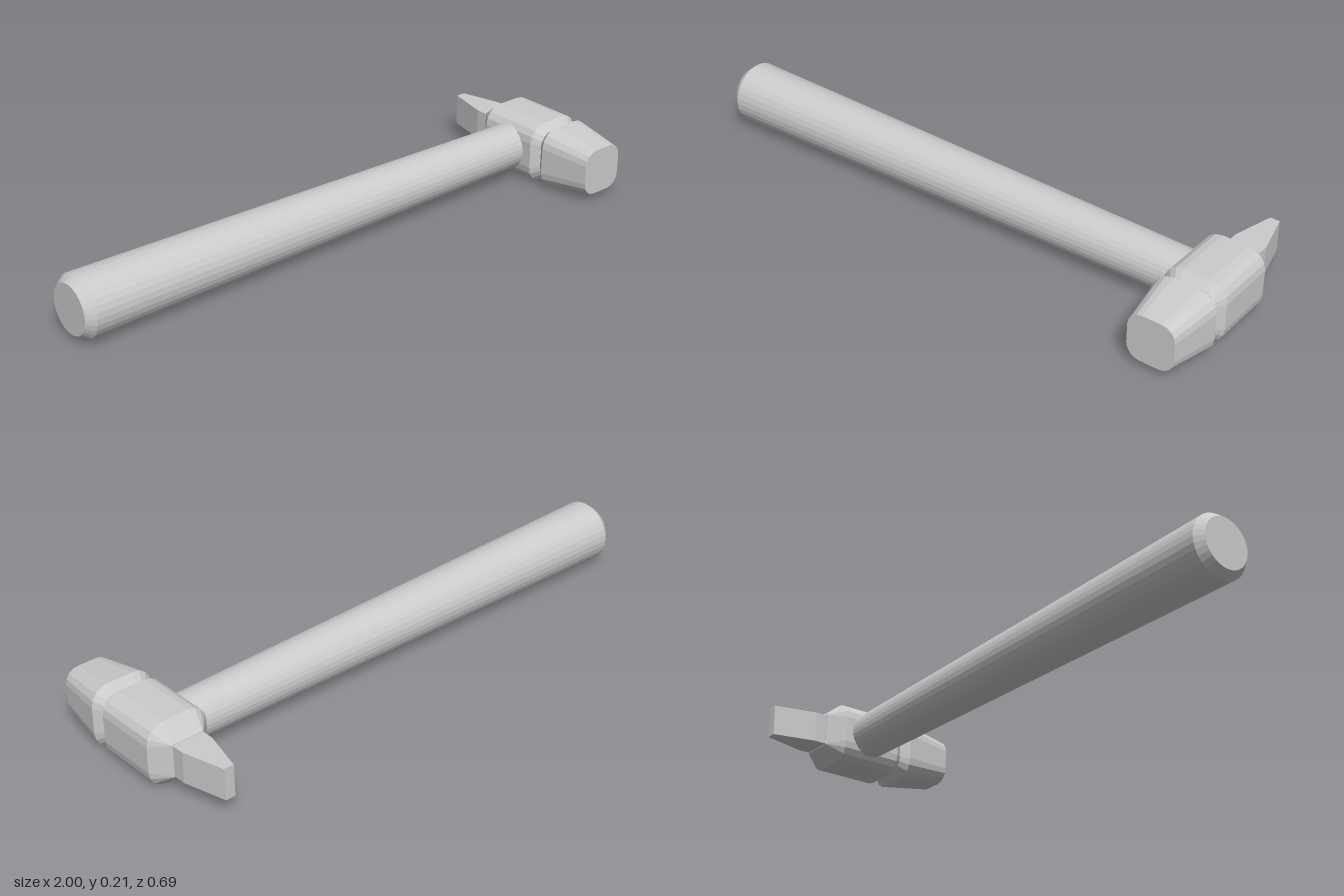
import * as THREE from 'three';

const AXIS_Y = 0.108; // height of handle and head centre
const HEAD_X = 0.893;
const CORNER_STEPS = 4;

// Outline of a rounded rectangle, counter-clockwise seen from +z
function roundedRing([z, hx, hy, r]) {
  const ring = [];
  [[1, 1], [-1, 1], [-1, -1], [1, -1]].forEach(([sx, sy], corner) => {
    for (let i = 0; i <= CORNER_STEPS; i++) {
      const a = (corner + i / CORNER_STEPS) * Math.PI / 2;
      ring.push([sx * (hx - r) + r * Math.cos(a), sy * (hy - r) + r * Math.sin(a), z]);
    }
  });
  return ring;
}

// Closed, faceted loft through sections ordered from +z to -z
function loft(sections) {
  const rings = sections.map(roundedRing);
  const n = rings[0].length;
  const last = rings.length - 1;
  const pos = [];
  const tri = (...pts) => pts.forEach(p => pos.push(...p));
  for (let i = 0; i < n; i++) {
    const j = (i + 1) % n;
    for (let k = 0; k < last; k++) {
      const a = rings[k], b = rings[k + 1];
      tri(a[i], b[i], a[j]);
      tri(a[j], b[i], b[j]);
    }
    tri([0, 0, sections[0][0]], rings[0][i], rings[0][j]);
    tri([0, 0, sections[last][0]], rings[last][j], rings[last][i]);
  }
  const geo = new THREE.BufferGeometry();
  geo.setAttribute('position', new THREE.Float32BufferAttribute(pos, 3));
  geo.computeVertexNormals();
  return geo;
}

export function createModel() {
  const model = new THREE.Group();
  model.name = 'hammer';
  const material = new THREE.MeshStandardMaterial({ color: 0xcccccc, flatShading: true });
  const add = (name, geometry, x) => {
    const mesh = new THREE.Mesh(geometry, material);
    mesh.name = name;
    mesh.position.set(x, AXIS_Y, 0);
    model.add(mesh);
    return mesh;
  };

  // Tapered round handle with a bevelled butt, its thin end inside the head
  const profile = [[0, -1], [0.083, -1], [0.105, -0.972], [0.077, 0.88], [0, 0.88]]
    .map(([r, h]) => new THREE.Vector2(r, h));
  add('handle', new THREE.LatheGeometry(profile, 32), 0).rotation.z = -Math.PI / 2;

  // Head: striking face, neck groove, body and rear shoulder (z, half width, half height, corner radius)
  add('head', loft([
    [0.345, 0.08, 0.08, 0.047],
    [0.168, 0.107, 0.107, 0.062],
    [0.14, 0.083, 0.083, 0.045],
    [0.112, 0.107, 0.107, 0.062],
    [-0.103, 0.107, 0.107, 0.062],
    [-0.157, 0.056, 0.056, 0.002],
  ]), HEAD_X);

  // Wedge-shaped peen at the back
  add('peen', loft([
    [-0.15, 0.054, 0.054, 0.001],
    [-0.2, 0.054, 0.054, 0.001],
    [-0.345, 0.017, 0.054, 0.001],
  ]), HEAD_X);

  return model;
}
